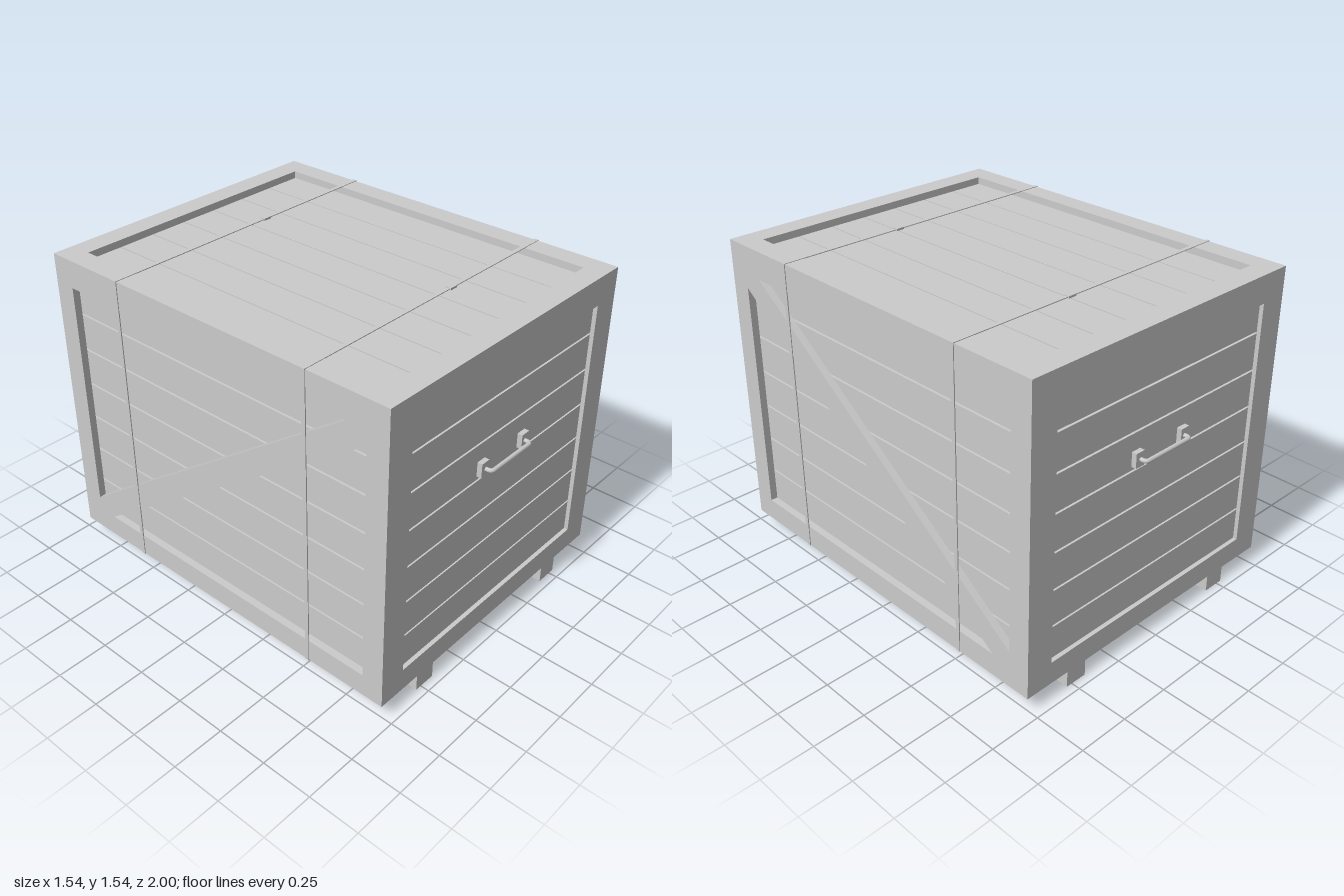
import * as THREE from 'three';

const mat = new THREE.MeshStandardMaterial({ color: 0xcccccc });
const W = 0.765, D = 0.957, Y0 = 0.08, Y1 = 1.535;
const T = 0.035; // frame board thickness

function add(parent, name, geo, x = 0, y = 0, z = 0) {
  const m = new THREE.Mesh(geo, mat);
  m.name = name;
  m.position.set(x, y, z);
  parent.add(m);
  return m;
}
const box = (parent, name, w, h, d, x, y, z) => add(parent, name, new THREE.BoxGeometry(w, h, d), x, y, z);

const poly = (pts, Kind = THREE.Shape) => new Kind(pts.map(([x, y]) => new THREE.Vector2(x, y)));
const rect = (x0, y0, x1, y1, Kind) => poly([[x0, y0], [x1, y0], [x1, y1], [x0, y1]], Kind);
const plate = (shape, depth) => new THREE.ExtrudeGeometry(shape, { depth, bevelEnabled: false });

// Rectangular frame with an opening, lying in its local xy plane
function frame(outer, inner, depth) {
  const s = rect(...outer);
  s.holes.push(rect(...inner, THREE.Path));
  return plate(s, depth);
}

// Row of horizontal boards between y = 0.17 and 1.44, with narrow gaps
function wallPlanks(parent, width, alongZ, pos) {
  const step = 0.181, gap = 0.01, t = 0.02;
  for (let i = 0; i < 7; i++) {
    const y = 0.173 + (i + 0.5) * step;
    if (alongZ) box(parent, 'sidePlank', t, step - gap, width, pos, y, 0);
    else box(parent, 'endPlank', width, step - gap, t, 0, y, pos);
  }
}

// End wall facing +z: frame, planks and carrying handle
function endWall() {
  const g = new THREE.Group();
  g.name = 'endWall';
  add(g, 'endFrame', frame([-W, Y0, W, Y1], [-0.63, 0.19, 0.63, 1.4], T), 0, 0, D - T);
  wallPlanks(g, 1.34, false, D - 0.03);

  const handle = new THREE.Group();
  handle.name = 'handle';
  g.add(handle);
  for (const s of [-1, 1]) box(handle, 'handlePlate', 0.05, 0.07, 0.024, s * 0.143, 0.955, D - 0.008);
  const path = new THREE.CurvePath();
  const v = (x, z) => new THREE.Vector3(x, 0.955, z);
  const za = D - 0.005, zb = 0.99, x = 0.14, r = 0.018;
  path.add(new THREE.LineCurve3(v(-x, za), v(-x, zb - r)));
  path.add(new THREE.QuadraticBezierCurve3(v(-x, zb - r), v(-x, zb), v(-x + r, zb)));
  path.add(new THREE.LineCurve3(v(-x + r, zb), v(x - r, zb)));
  path.add(new THREE.QuadraticBezierCurve3(v(x - r, zb), v(x, zb), v(x, zb - r)));
  path.add(new THREE.LineCurve3(v(x, zb - r), v(x, za)));
  add(handle, 'handleBar', new THREE.TubeGeometry(path, 80, 0.01, 10));
  return g;
}

// Side wall: frame, planks and diagonal brace running from front top to back bottom
function sideWall(s) {
  const g = new THREE.Group();
  g.name = 'sideWall';
  const x0 = s > 0 ? W - T : -W;
  const zi = D - T;
  const f = add(g, 'sideFrame', frame([-zi, Y0, zi, Y1 - T], [-0.85, 0.19, 0.85, 1.4], T), x0);
  const brace = poly([[-0.85, 1.33], [-0.85, 1.4], [-0.75, 1.4], [0.85, 0.26], [0.85, 0.19], [0.75, 0.19]]);
  const b = add(g, 'diagonalBrace', plate(brace, T), x0);
  // Local x becomes -z, local depth becomes +x
  f.rotation.y = b.rotation.y = Math.PI / 2;
  wallPlanks(g, 1.74, true, s * (W - T - 0.01));
  return g;
}

export function createModel() {
  const model = new THREE.Group();
  model.name = 'crate';

  // Inner core closing the gaps between boards, with a recessed floor
  box(model, 'innerCore', 1.42, 1.37, 1.8, 0, 0.11 + 0.685, 0);

  // Walls
  const front = endWall();
  const back = endWall();
  back.rotation.y = Math.PI;
  model.add(front, back, sideWall(1), sideWall(-1));

  // Lid frame and boards
  const lid = new THREE.Group();
  lid.name = 'lid';
  model.add(lid);
  const zi = D - T;
  const lidFrame = add(lid, 'lidFrame', frame([-W, -zi, W, zi], [-0.66, -0.85, 0.66, 0.85], T), 0, Y1 - T, 0);
  lidFrame.rotation.x = -Math.PI / 2;
  for (let i = 0; i < 7; i++) {
    box(lid, 'lidPlank', 0.184, 0.03, 1.74, -0.005 + (i - 3) * 0.19, Y1 - T - 0.015, 0);
  }

  // Straps over the top and down both sides, each with a small buckle
  const o = W + 0.004, n = W - 0.001, top = Y1 + 0.003;
  const strap = poly([[-o, Y0], [-n, Y0], [-n, Y1 - 0.001], [n, Y1 - 0.001], [n, Y0], [o, Y0], [o, top], [-o, top]]);
  for (const z of [-0.54, 0.54]) {
    add(model, 'strap', plate(strap, 0.02), 0, 0, z - 0.01);
    box(model, 'buckle', 0.042, 0.01, 0.032, 0.132, Y1 + 0.002, z);
  }

  // Skids under the floor
  for (const s of [-1, 1]) box(model, 'skid', 0.11, 0.08, 2 * D, s * 0.475, 0.04, 0);

  return model;
}
